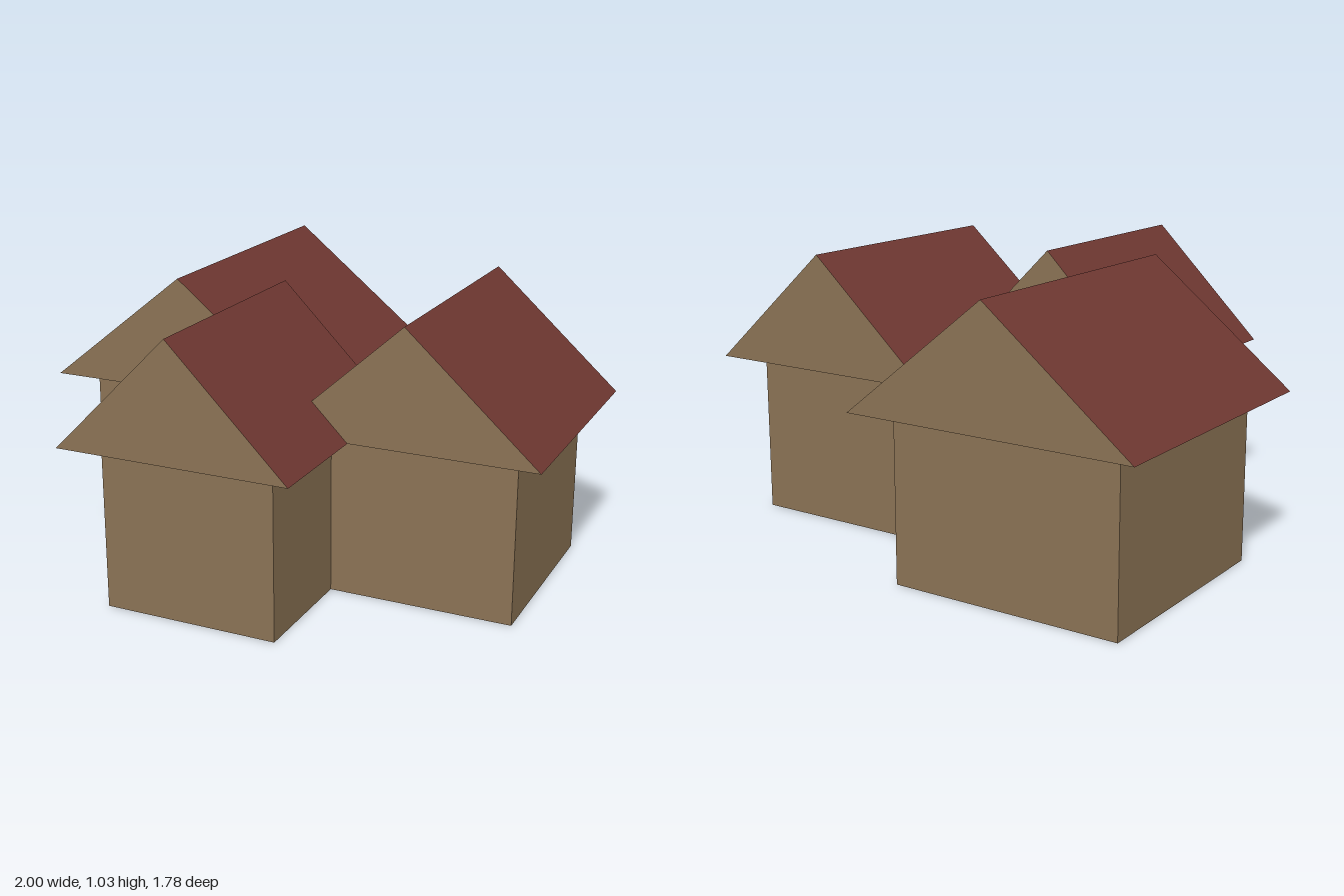
import * as THREE from 'three';

const WALL_TOP = 0.603;
const RIDGE = 1.03;
const OVERHANG = 0.107;

// Flat polygon fan from a list of corner points, counter-clockwise from outside
function panels(polygons) {
  const positions = [];
  for (const p of polygons) {
    for (let i = 1; i < p.length - 1; i++) positions.push(...p[0], ...p[i], ...p[i + 1]);
  }
  const geometry = new THREE.BufferGeometry();
  geometry.setAttribute('position', new THREE.Float32BufferAttribute(positions, 3));
  geometry.computeVertexNormals();
  return geometry;
}

// One house: square walls open at the floor, and a gable roof open beneath the eaves
function createHouse(name, x, z, roofSize, wallMaterial, roofMaterial) {
  const house = new THREE.Group();
  house.name = name;
  house.position.set(x, 0, z);

  // Walls with a ceiling and no floor
  const side = roofSize - 2 * OVERHANG;
  const box = new THREE.BoxGeometry(side, WALL_TOP, side);
  const index = Array.from(box.index.array);
  index.splice(18, 6);
  box.setIndex(index);
  box.clearGroups();
  const walls = new THREE.Mesh(box, wallMaterial);
  walls.name = 'walls';
  walls.position.y = WALL_TOP / 2;

  // Roof corners
  const h = roofSize / 2;
  const frontLeft = [h, WALL_TOP, h];
  const frontRight = [-h, WALL_TOP, h];
  const backLeft = [h, WALL_TOP, -h];
  const backRight = [-h, WALL_TOP, -h];
  const frontPeak = [0, RIDGE, h];
  const backPeak = [0, RIDGE, -h];

  // Two sloping roof planes
  const slopes = new THREE.Mesh(panels([
    [frontLeft, backLeft, backPeak, frontPeak],
    [backRight, frontRight, frontPeak, backPeak],
  ]), roofMaterial);
  slopes.name = 'roofSlopes';

  // Triangular gable ends
  const gables = new THREE.Mesh(panels([
    [frontRight, frontLeft, frontPeak],
    [backLeft, backRight, backPeak],
  ]), wallMaterial);
  gables.name = 'gables';

  house.add(walls, slopes, gables);
  return house;
}

export function createModel() {
  const wallMaterial = new THREE.MeshStandardMaterial({ color: 0x8b7355, side: THREE.DoubleSide });
  wallMaterial.name = 'tan wall';
  const roofMaterial = new THREE.MeshStandardMaterial({ color: 0x703832, side: THREE.DoubleSide });
  roofMaterial.name = 'dark red roof';

  const model = new THREE.Group();
  model.name = 'houseCluster';
  model.add(
    createHouse('backHouse', -0.465, -0.357, 1.07, wallMaterial, roofMaterial),
    createHouse('frontHouse', -0.1, 0.461, 0.857, wallMaterial, roofMaterial),
    createHouse('sideHouse', 0.525, -0.034, 0.949, wallMaterial, roofMaterial),
  );
  return model;
}
